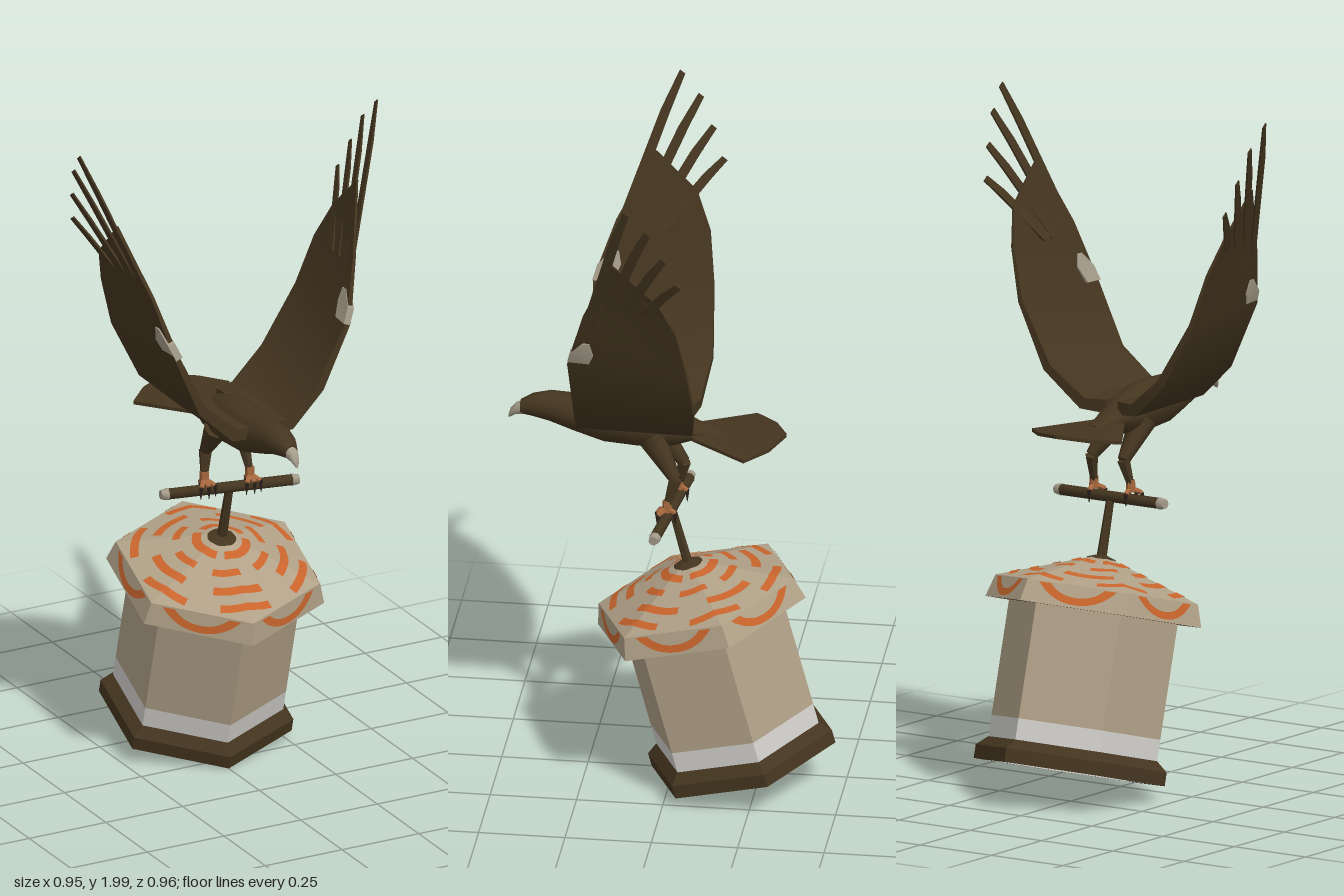
import * as THREE from 'three';
import { toCreasedNormals } from 'three/addons/utils/BufferGeometryUtils.js';

const mat = (name, color) => {
  const m = new THREE.MeshStandardMaterial({ color, side: THREE.DoubleSide });
  m.name = name;
  return m;
};
const brown = mat('dark brown', 0x44351f);
const tan = mat('tan', 0xb0a087);
const orange = mat('burnt orange', 0xc8642c);
const white = mat('off white', 0xd0cfcb);
const horn = mat('horn', 0xa39a88);
const skin = mat('leg orange', 0xa8683f);
const claw = mat('claw', 0x2a211a);

function add(parent, name, geometry, material, crease = 0.3) {
  const mesh = new THREE.Mesh(toCreasedNormals(geometry, crease), material);
  mesh.name = name;
  parent.add(mesh);
  return mesh;
}

// Closed skin over a row of cross-sections with equal point counts
function loft(rings) {
  const n = rings[0].length, pos = [], idx = [];
  rings.forEach(r => r.forEach(p => pos.push(...p)));
  for (let i = 0; i < rings.length - 1; i++)
    for (let j = 0; j < n; j++) {
      const a = i * n + j, b = i * n + (j + 1) % n;
      idx.push(a, b, a + n, b, b + n, a + n);
    }
  const last = (rings.length - 1) * n;
  for (let j = 1; j < n - 1; j++) {
    idx.push(0, j + 1, j);
    idx.push(last, last + j, last + j + 1);
  }
  const g = new THREE.BufferGeometry();
  g.setAttribute('position', new THREE.Float32BufferAttribute(pos, 3));
  g.setIndex(idx);
  g.computeVertexNormals();
  return g;
}

// Oval cross-section at z: centre height, half width, half height
const oval = ([z, y, w, h]) => Array.from({ length: 12 }, (_, i) => {
  const t = i / 12 * Math.PI * 2;
  return [w * Math.cos(t), y + h * Math.sin(t), z];
});

// Thin blade through stations [leading point, trailing point, half thickness]
function blade(stations) {
  return loft(stations.map(([L, T, th], i) => {
    const a = stations[Math.max(i - 1, 0)][0], b = stations[Math.min(i + 1, stations.length - 1)][0];
    const len = Math.hypot(b[0] - a[0], b[1] - a[1]) || 1;
    const nx = -(b[1] - a[1]) / len * th, ny = (b[0] - a[0]) / len * th;
    return [[T, 1], [L, 1], [L, -1], [T, -1]].map(([p, s]) => [p[0] + s * nx, p[1] + s * ny, p[2]]);
  }));
}

// Tapered limb between two points
function limb(parent, name, a, b, ra, rb, material, sides = 6) {
  const A = new THREE.Vector3(...a), B = new THREE.Vector3(...b), d = B.clone().sub(A);
  const mesh = add(parent, name, new THREE.CylinderGeometry(rb, ra, d.length(), sides), material, 0.9);
  mesh.position.copy(A).add(B).multiplyScalar(0.5);
  mesh.quaternion.setFromUnitVectors(new THREE.Vector3(0, 1, 0), d.normalize());
}

const hexLathe = pts => new THREE.LatheGeometry(pts.map(p => new THREE.Vector2(...p)), 6);

function buildStand() {
  const g = new THREE.Group();
  g.name = 'stand';
  g.position.set(0.037, 0.074, -0.205);
  g.rotation.set(THREE.MathUtils.degToRad(15), THREE.MathUtils.degToRad(-7.5), 0);

  add(g, 'baseMoulding', hexLathe([[0.25, 0], [0.283, 0], [0.283, 0.04], [0.25, 0.068]]), brown);
  add(g, 'whiteBand', hexLathe([[0.25, 0], [0.25, 0.13]]), white);
  add(g, 'walls', hexLathe([[0.25, 0.13], [0.25, 0.467]]), tan);
  add(g, 'roofUnderside', hexLathe([[0.25, 0.465], [0.32, 0.465]]), brown);
  add(g, 'roof', hexLathe([[0.32, 0.465], [0.30, 0.53], [0.0001, 0.632]]), tan, 0.12);

  // Painted arcs laid on the six roof slopes
  const arc = (name, r0, r1, start, length, material) => {
    const ring = new THREE.RingGeometry(r0, r1, Math.max(6, Math.ceil(length / 0.08)), 1, start, length);
    ring.rotateX(-Math.PI / 2);
    const p = ring.attributes.position, step = Math.PI / 3;
    for (let i = 0; i < p.count; i++) {
      const x = p.getX(i), z = p.getZ(i);
      const d = ((Math.atan2(x, z) + 2 * Math.PI) % step) - step / 2;
      const k = Math.hypot(x, z) * Math.cos(d) / Math.cos(step / 2) / 0.30;
      p.setY(i, 0.635 - 0.102 * k);
    }
    add(g, name, ring, material, 0.5);
  };
  arc('poleFoot', 0.001, 0.042, 0, Math.PI * 2, brown);
  const rows = [[0.06, 0.085, 3, 0.85, 0.3], [0.118, 0.14, 6, 0.6, 0], [0.175, 0.2, 5, 0.62, 0.5], [0.232, 0.256, 6, 0.6, 0.2]];
  for (const [r0, r1, count, fill, shift] of rows)
    for (let i = 0; i < count; i++) {
      const step = Math.PI * 2 / count;
      arc('roofArc', r0, r1, i * step + shift, step * fill, orange);
    }

  // Scalloped stroke on each eave face
  const s = new THREE.Shape();
  s.moveTo(-0.115, 0.064);
  s.quadraticCurveTo(-0.07, 0.008, 0, 0.008);
  s.quadraticCurveTo(0.07, 0.008, 0.115, 0.064);
  s.lineTo(0.08, 0.064);
  s.quadraticCurveTo(0.05, 0.03, 0, 0.03);
  s.quadraticCurveTo(-0.05, 0.03, -0.08, 0.064);
  for (let i = 0; i < 6; i++) {
    const geo = new THREE.ShapeGeometry(s, 8);
    geo.rotateX(-Math.atan2(0.0173, 0.065));
    geo.translate(0, 0.465, 0.2801);
    geo.rotateY((i + 0.5) * Math.PI / 3);
    add(g, 'eaveStroke', geo, orange);
  }

  // Pole and perch
  limb(g, 'pole', [0, 0.62, 0], [0, 0.79, 0], 0.015, 0.012, brown);
  limb(g, 'perch', [-0.195, 0.8, 0], [0.195, 0.8, 0], 0.016, 0.016, brown, 8);
  for (const m of [-1, 1])
    limb(g, 'perchCap', [m * 0.19, 0.8, 0], [m * 0.212, 0.8, 0], 0.018, 0.014, horn, 8);
  return g;
}

function buildWing(side) {
  const w = new THREE.Group();
  w.name = side > 0 ? 'leftWing' : 'rightWing';
  w.scale.x = side;
  // The right wing tip sweeps slightly further back
  const pt = (x, y, z) => [x, y, z - (side < 0 ? Math.max(0, y - 1.42) * 0.065 : 0)];
  add(w, 'wing', blade([
    [pt(0.02, 1.13, 0.275), pt(0.02, 1.12, -0.045), 0.02],
    [pt(0.09, 1.13, 0.272), pt(0.09, 1.125, -0.065), 0.018],
    [pt(0.19, 1.22, 0.265), pt(0.2, 1.22, -0.085), 0.014],
    [pt(0.28, 1.41, 0.272), pt(0.3, 1.4, -0.075), 0.008],
    [pt(0.325, 1.58, 0.222), pt(0.345, 1.55, -0.05), 0.005],
    [pt(0.385, 1.78, 0.13), pt(0.378, 1.66, 0.0), 0.003],
  ]), brown, 0.7);
  // Pale shoulder patch
  add(w, 'wingPatch', blade([
    [pt(0.273, 1.405, 0.274), pt(0.277, 1.405, 0.215), 0.011],
    [pt(0.292, 1.45, 0.263), pt(0.297, 1.45, 0.195), 0.011],
    [pt(0.304, 1.49, 0.225), pt(0.304, 1.49, 0.205), 0.009],
  ]), horn);
  // Splayed flight feathers
  const tips = [[0.475, 1.995, 0.08], [0.463, 1.93, 0.02], [0.447, 1.84, -0.025], [0.427, 1.75, -0.065]];
  tips.forEach(([x, y, z], i) => {
    const rz = 0.222 - i * 0.04;
    add(w, 'flightFeather', blade([
      [pt(0.32, 1.56, rz), pt(0.322, 1.55, rz - 0.03), 0.003],
      [pt(x * 0.75 + 0.08, y * 0.75 + 0.39, z * 0.75 + rz * 0.25 + 0.012), pt(x * 0.75 + 0.08, y * 0.75 + 0.38, z * 0.75 + rz * 0.25 - 0.014), 0.003],
      [pt(x, y, z + 0.005), pt(x, y - 0.012, z - 0.011), 0.002],
    ]), brown);
  });
  return w;
}

function buildLeg(name, hip, knee, ankle) {
  const g = new THREE.Group();
  g.name = name;
  limb(g, 'thigh', hip, knee, 0.04, 0.018, brown, 8);
  limb(g, 'shank', knee, ankle, 0.02, 0.011, brown);
  const [x, y, z] = ankle;
  limb(g, 'foot', [x, y + 0.015, z], [x, y - 0.02, z], 0.013, 0.014, skin);
  for (const [dx, dz] of [[-0.022, 0.03], [0, 0.036], [0.022, 0.03], [0, -0.03]]) {
    const mid = [x + dx, y - 0.024, z + dz * 0.8];
    limb(g, 'toe', [x, y - 0.01, z], mid, 0.009, 0.007, skin);
    limb(g, 'talon', mid, [x + dx * 1.1, y - 0.06, z + dz * 0.8], 0.007, 0.001, claw, 5);
  }
  return g;
}

function buildBird() {
  const g = new THREE.Group();
  g.name = 'bird';
  add(g, 'body', loft([
    [-0.14, 1.078, 0.018, 0.006], [-0.07, 1.083, 0.04, 0.024], [0, 1.09, 0.06, 0.055],
    [0.1, 1.1, 0.07, 0.072], [0.2, 1.105, 0.066, 0.07], [0.29, 1.118, 0.052, 0.055],
    [0.36, 1.133, 0.046, 0.044], [0.41, 1.133, 0.035, 0.033], [0.445, 1.125, 0.02, 0.021],
  ].map(oval)), brown, 0.9);
  add(g, 'beak', loft([
    [0.43, 1.125, 0.022, 0.023], [0.458, 1.118, 0.016, 0.018],
    [0.474, 1.104, 0.009, 0.014], [0.48, 1.093, 0.002, 0.005],
  ].map(oval)), horn, 0.9);

  // Fanned tail, drooping toward its corners
  const fan = [[-0.03, 0.04], [0.03, 0.04], [0.055, 0.06], [0.157, 0.22], [0.09, 0.285], [0, 0.325], [-0.09, 0.285], [-0.157, 0.22], [-0.055, 0.06]];
  const tail = new THREE.ExtrudeGeometry(new THREE.Shape(fan.map(p => new THREE.Vector2(...p))), { depth: 0.01, bevelEnabled: false });
  tail.rotateX(-Math.PI / 2);
  const p = tail.attributes.position;
  for (let i = 0; i < p.count; i++) p.setY(i, p.getY(i) + 1.076 - Math.abs(p.getX(i)) * 0.1);
  add(g, 'tail', tail, brown);

  g.add(buildWing(1), buildWing(-1));
  g.add(buildLeg('leftLeg', [0.045, 1.07, 0.06], [0.092, 0.965, -0.015], [0.1, 0.885, 0.008]));
  g.add(buildLeg('rightLeg', [-0.035, 1.07, 0.06], [-0.027, 0.965, -0.025], [-0.04, 0.892, -0.008]));
  return g;
}

export function createModel() {
  const model = new THREE.Group();
  model.name = 'birdOnHexagonalStand';
  model.add(buildStand(), buildBird());
  return model;
}
